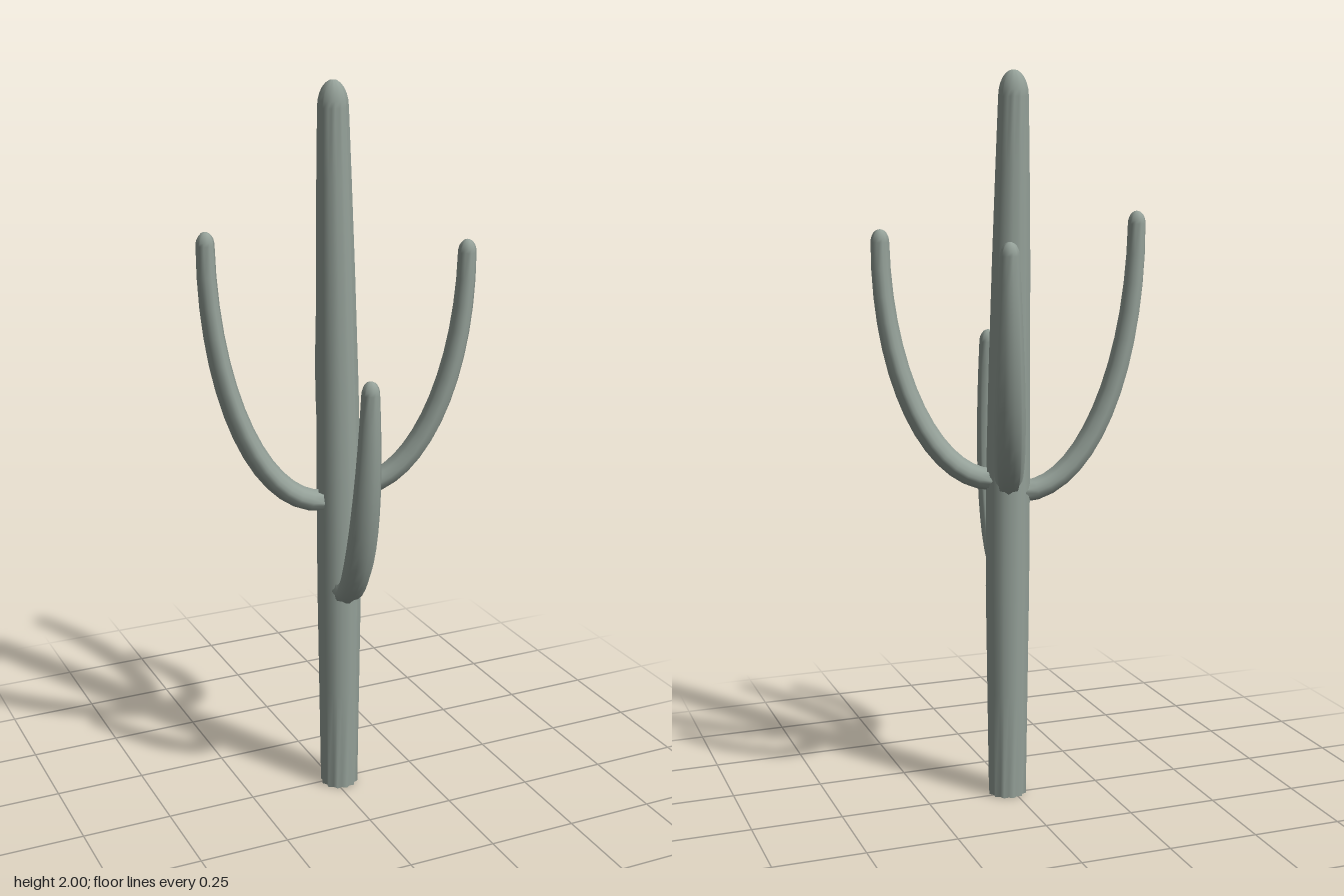
import * as THREE from 'three';

const V = (x, y, z) => new THREE.Vector3(x, y, z);
const UP = V(0, 1, 0);

// Skin of a ribbed stem. Each ring: centre p, axes u and v, half widths a and b.
function ribbedStem(rings, ribs, groove) {
  const n = ribs * 2, pos = [], index = [];
  const add = (p) => pos.push(p.x, p.y, p.z) / 3 - 1;
  const addRing = ({ p, u, v, a, b }) => {
    const first = pos.length / 3;
    for (let j = 0; j < n; j++) {
      const k = j % 2 ? groove : 1, t = (j / n) * Math.PI * 2;
      add(p.clone().addScaledVector(u, a * k * Math.cos(t)).addScaledVector(v, b * k * Math.sin(t)));
    }
    return first;
  };
  const starts = rings.map(addRing);
  for (let i = 0; i < rings.length - 1; i++) {
    for (let j = 0; j < n; j++) {
      const m = (j + 1) % n, s = starts[i], e = starts[i + 1];
      index.push(s + j, s + m, e + m, s + j, e + m, e + j);
    }
  }
  // pointed crown and flat base
  const last = rings[rings.length - 1], e = starts[starts.length - 1];
  const tip = add(last.p.clone().addScaledVector(UP, last.a * 0.12));
  const base = addRing(rings[0]), mid = add(rings[0].p);
  for (let j = 0; j < n; j++) {
    const m = (j + 1) % n;
    index.push(e + j, e + m, tip, base + m, base + j, mid);
  }
  const g = new THREE.BufferGeometry();
  g.setAttribute('position', new THREE.Float32BufferAttribute(pos, 3));
  g.setIndex(index);
  g.computeVertexNormals();
  return g;
}

// Rings closing a stem with a dome of the given height
function dome(ring, height) {
  return [0.25, 0.5, 0.72, 0.88, 0.97].map((h) => {
    const k = Math.sqrt(1 - h * h);
    return { ...ring, p: ring.p.clone().addScaledVector(UP, h * height), a: ring.a * k, b: ring.b * k };
  });
}

function trunkGeometry() {
  // y, outer radius, centre x, centre z
  const profile = [
    [0, 0.053, 0.016, 0.011], [0.3, 0.057, 0.016, 0.01], [0.6, 0.061, 0.016, 0.009],
    [0.9, 0.061, 0.015, 0.007], [1.2, 0.057, 0.012, 0.004], [1.5, 0.052, 0.008, 0],
    [1.75, 0.046, 0.005, -0.003], [1.93, 0.041, 0.003, -0.005],
  ];
  const rings = profile.map(([y, r, x, z]) => ({ p: V(x, y, z), u: V(0, 0, 1), v: V(1, 0, 0), a: r, b: r }));
  return ribbedStem([...rings, ...dome(rings[rings.length - 1], 0.07)], 12, 0.86);
}

// Arm sweeping out and up along a quarter ellipse
function armGeometry(baseY, tip) {
  const root = V(0.014, baseY, 0.006);
  const dir = V(tip.x - root.x, 0, tip.z - root.z);
  const reach = dir.length();
  dir.normalize();
  const start = 0.042, out = reach - start, rise = tip.y - 0.035 - baseY;
  const side = V().crossVectors(UP, dir);
  const rings = [];
  for (let i = 0; i <= 14; i++) {
    const t = i / 14, q = t * Math.PI / 2;
    const p = root.clone().addScaledVector(dir, start + out * Math.sin(q)).addScaledVector(UP, rise * (1 - Math.cos(q)));
    const tangent = dir.clone().multiplyScalar(out * Math.cos(q)).addScaledVector(UP, rise * Math.sin(q)).normalize();
    rings.push({
      p, u: side, v: V().crossVectors(tangent, side),
      a: 0.025 + 0.006 * (1 - t) + 0.014 * Math.sin(Math.PI * t),
      b: 0.025 + 0.006 * (1 - t) + 0.003 * Math.sin(Math.PI * t),
    });
  }
  return ribbedStem([...rings, ...dome(rings[14], 0.035)], 8, 0.84);
}

export function createModel() {
  const group = new THREE.Group();
  group.name = 'cactus';
  const skin = new THREE.MeshStandardMaterial({ color: 0x94a098 });
  skin.name = 'greyGreenSkin';
  const add = (name, geometry) => {
    const mesh = new THREE.Mesh(geometry, skin);
    mesh.name = name;
    group.add(mesh);
  };
  add('trunk', trunkGeometry());
  add('rightArm', armGeometry(0.87, V(-0.34, 1.63, -0.04)));
  add('leftArm', armGeometry(0.905, V(0.337, 1.585, 0.117)));
  add('backArm', armGeometry(0.905, V(0.122, 1.57, -0.3)));
  add('frontArm', armGeometry(0.615, V(-0.03, 1.285, 0.295)));
  return group;
}
